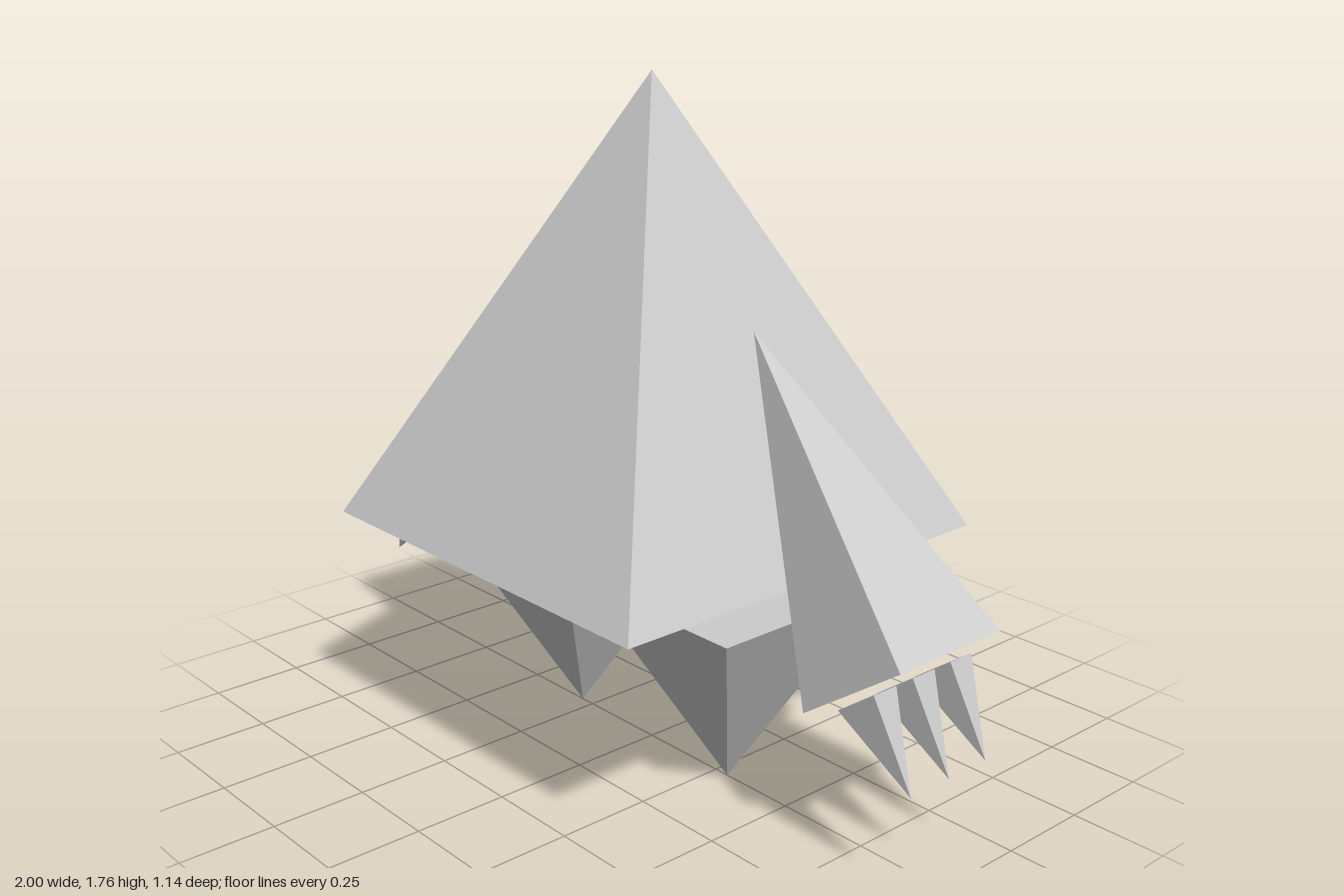
import * as THREE from 'three';

const material = new THREE.MeshStandardMaterial({ color: 0xcccccc, flatShading: true });

// Four-sided pyramid from its base centre to its tip, leaning only in the xy plane
function pyramid(name, [bx, by], [tx, ty], z, halfWidth, halfDepth) {
  const dx = tx - bx, dy = ty - by;
  const length = Math.hypot(dx, dy);
  const geometry = new THREE.ConeGeometry(Math.SQRT2, length, 4)
    .rotateY(Math.PI / 4)
    .scale(halfWidth, 1, halfDepth)
    .translate(0, length / 2, 0)
    .rotateZ(-Math.atan2(dx, dy));
  const mesh = new THREE.Mesh(geometry, material);
  mesh.name = name;
  mesh.position.set(bx, by, z);
  return mesh;
}

export function createModel() {
  const model = new THREE.Group();
  model.name = 'pyramidCreature';
  model.add(pyramid('body', [0, 0.62], [0, 1.76], 0, 0.57, 0.57));

  for (const [side, s] of [['left', 1], ['right', -1]]) {
    // Leg: inverted pyramid standing on its tip
    model.add(pyramid(side + 'Leg', [s * 0.292, 0.52], [s * 0.292, 0], 0, 0.257, 0.257));

    // Arm slanting outward, with three claws floating off its end
    const arm = new THREE.Group();
    arm.name = side + 'ArmAssembly';
    arm.add(pyramid(side + 'Arm', [s * 0.85, 0.487], [s * 0.36, 1.185], 0, 0.17, 0.17));
    [-0.129, 0, 0.129].forEach((z, i) => {
      arm.add(pyramid(side + 'Claw' + (i + 1), [s * 0.863, 0.47], [s, 0.28], z, 0.063, 0.037));
    });
    model.add(arm);
  }
  return model;
}
